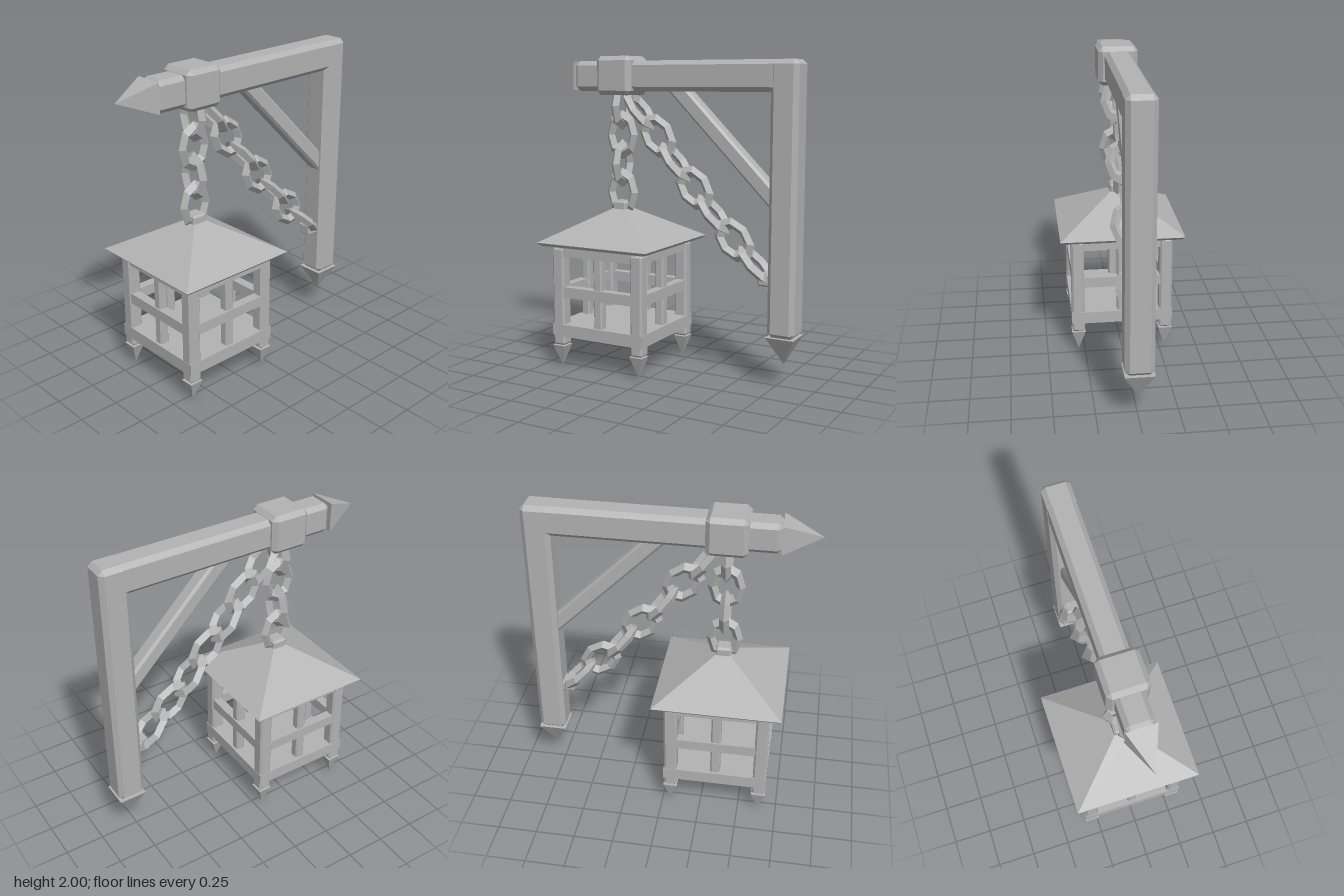
import * as THREE from 'three';
import { ConvexGeometry } from 'three/addons/geometries/ConvexGeometry.js';

const LANTERN_Z = 0.342;
const stone = new THREE.MeshStandardMaterial({ color: 0xb2b2b2 });
stone.name = 'grey iron';

// Give every face its own flat normal.
function faceted(geometry) {
  const flat = geometry.index ? geometry.toNonIndexed() : geometry;
  flat.computeVertexNormals();
  return flat;
}

function add(parent, name, geometry, x = 0, y = 0, z = 0) {
  const mesh = new THREE.Mesh(faceted(geometry), stone);
  mesh.name = name;
  mesh.position.set(x, y, z);
  parent.add(mesh);
  return mesh;
}

// Box with every edge and corner cut off by c.
function chamferBox(w, h, d, c) {
  const points = [];
  for (const sx of [-1, 1]) for (const sy of [-1, 1]) for (const sz of [-1, 1]) {
    for (let axis = 0; axis < 3; axis++) {
      const half = [w / 2 - c, h / 2 - c, d / 2 - c];
      half[axis] += c;
      points.push(new THREE.Vector3(sx * half[0], sy * half[1], sz * half[2]));
    }
  }
  return new ConvexGeometry(points);
}

// Square frustum given by half widths, sides parallel to the axes.
function frustum(topHalf, bottomHalf, height) {
  return new THREE.CylinderGeometry(topHalf * Math.SQRT2, bottomHalf * Math.SQRT2, height, 4)
    .rotateY(Math.PI / 4);
}

const linkGeometry = () => new THREE.TorusGeometry(0.086, 0.03, 4, 8).scale(1, 1.37, 1);

// Links follow a curve, each turned a quarter from the last.
function makeChain(name, points, count) {
  const chain = new THREE.Group();
  chain.name = name;
  const curve = new THREE.CatmullRomCurve3(points.map(([z, y]) => new THREE.Vector3(0, y, z)));
  for (let i = 0; i < count; i++) {
    const t = i / (count - 1);
    const link = add(chain, 'chainLink', linkGeometry());
    link.position.copy(curve.getPointAt(t));
    const along = curve.getTangentAt(t);
    link.rotation.order = 'XYZ';
    link.rotation.x = Math.atan2(-along.z, -along.y);
    link.rotation.y = i % 2 ? Math.PI / 2 : 0;
  }
  return chain;
}

function makeBracket() {
  const bracket = new THREE.Group();
  bracket.name = 'bracket';
  add(bracket, 'post', chamferBox(0.176, 1.655, 0.175, 0.028), 0, 1.1425, -0.798);
  add(bracket, 'postTip', frustum(0, 0.09, 0.175).rotateX(Math.PI), 0, 0.23, -0.798);
  add(bracket, 'beam', chamferBox(0.17, 0.19, 1.51, 0.028), 0, 1.875, -0.1);
  add(bracket, 'beamTip', frustum(0, 0.092, 0.235).rotateX(Math.PI / 2), 0, 1.877, 0.772);
  add(bracket, 'collar', chamferBox(0.25, 0.245, 0.25, 0.028), 0, 1.8775, LANTERN_Z);
  // Diagonal brace, its ends sunk into beam and post
  const brace = add(bracket, 'brace', chamferBox(0.1, 1.1, 0.1, 0.015), 0, 1.478, -0.393);
  brace.rotation.x = Math.PI / 4;
  add(bracket, 'chainStaple', chamferBox(0.1, 0.075, 0.09, 0.01), 0, 0.657, -0.68);
  return bracket;
}

function makeLantern() {
  const lantern = new THREE.Group();
  lantern.name = 'lantern';
  lantern.position.z = LANTERN_Z;

  // Roof with a small lip, and the knob that takes the chain
  add(lantern, 'roof', frustum(0.045, 0.402, 0.205), 0, 0.9225, 0);
  add(lantern, 'roofLip', frustum(0.402, 0.382, 0.021), 0, 0.81, 0);
  add(lantern, 'roofKnob', chamferBox(0.1, 0.075, 0.1, 0.012), 0, 1.038, 0);
  add(lantern, 'floor', new THREE.BoxGeometry(0.668, 0.08, 0.668), 0, 0.245, 0);

  // Corner posts with pointed feet
  for (const x of [-0.29, 0.29]) for (const z of [-0.29, 0.29]) {
    add(lantern, 'cornerPost', chamferBox(0.084, 0.64, 0.084, 0.012), x, 0.465, z);
    add(lantern, 'footTip', frustum(0, 0.045, 0.142).rotateX(Math.PI), x, 0.071, z);
  }

  // The same rails and upright on each of the four sides
  for (let i = 0; i < 4; i++) {
    const side = new THREE.Group();
    side.name = 'lanternSide';
    side.rotation.y = i * Math.PI / 2;
    add(side, 'topRail', new THREE.BoxGeometry(0.58, 0.072, 0.064), 0, 0.766, 0.292);
    add(side, 'middleRail', new THREE.BoxGeometry(0.58, 0.068, 0.06), 0, 0.498, 0.296);
    add(side, 'upright', chamferBox(0.062, 0.5, 0.062, 0.01), 0, 0.51, 0.285);
    lantern.add(side);
  }
  return lantern;
}

export function createModel() {
  const model = new THREE.Group();
  model.name = 'hangingLantern';
  model.add(
    makeBracket(),
    makeLantern(),
    makeChain('hangingChain', [[LANTERN_Z, 1.687], [LANTERN_Z, 1.4], [LANTERN_Z, 1.13]], 4),
    makeChain('slackChain', [[0.21, 1.66], [0.08, 1.5], [-0.05, 1.34], [-0.185, 1.18],
      [-0.325, 1.02], [-0.46, 0.875], [-0.605, 0.738]], 7),
  );
  return model;
}
